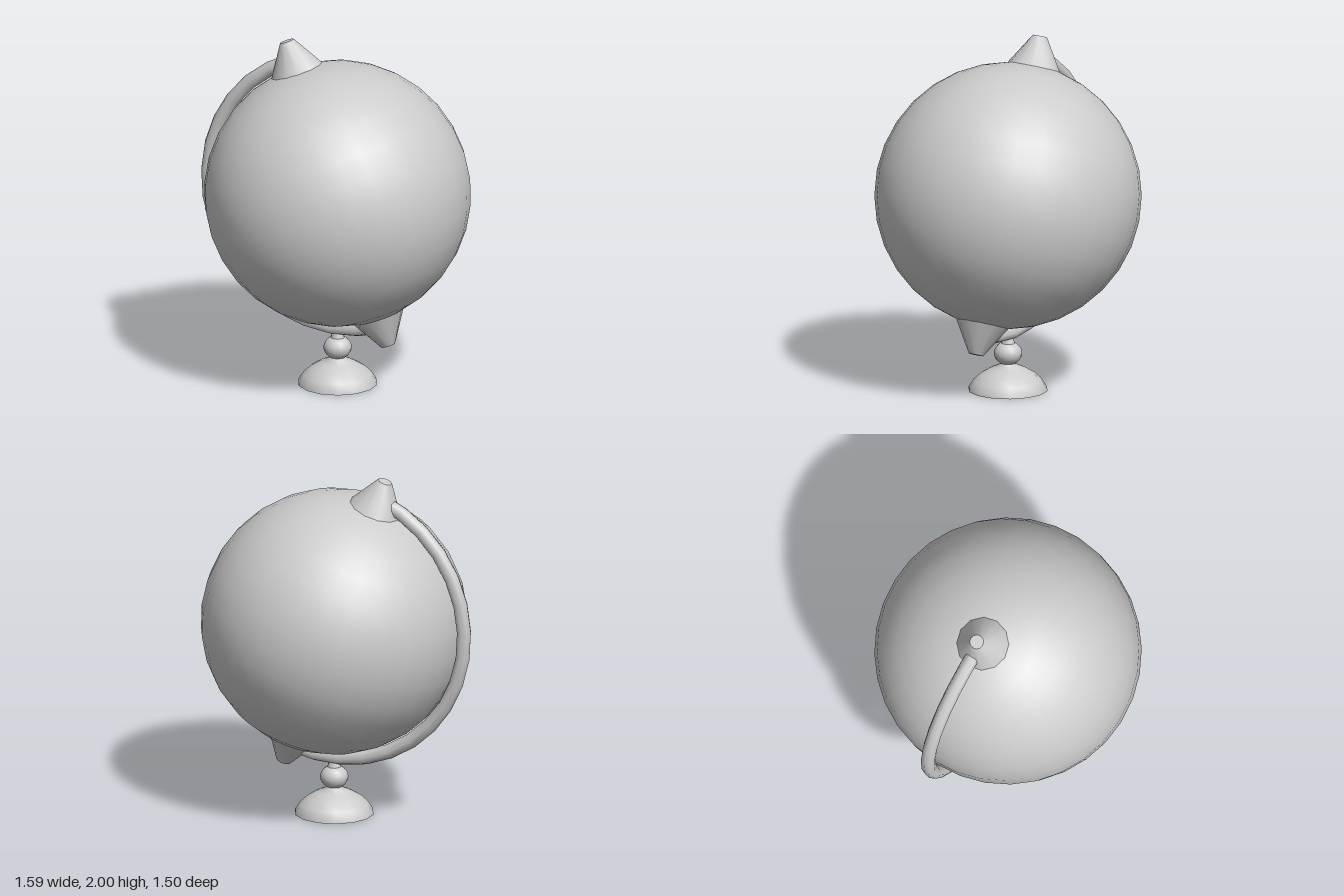
import * as THREE from 'three';
import { toCreasedNormals } from 'three/addons/utils/BufferGeometryUtils.js';

const CENTER = [0.04, 1.125, 0];
const TILT = THREE.MathUtils.degToRad(20);
const RADIUS = 0.752;

export function createModel() {
  const model = new THREE.Group();
  model.name = 'deskGlobe';
  const material = new THREE.MeshStandardMaterial({ color: 0xcccccc });

  const add = (parent, name, geometry) => {
    const mesh = new THREE.Mesh(geometry, material);
    mesh.name = name;
    parent.add(mesh);
    return mesh;
  };
  const lathe = (points, sides) => toCreasedNormals(
    new THREE.LatheGeometry(points.map(([r, y]) => new THREE.Vector2(r, y)), sides), 0.8);

  // Everything that turns on the tilted axis
  const tilted = new THREE.Group();
  tilted.name = 'tiltedAssembly';
  tilted.position.set(...CENTER);
  tilted.rotation.z = TILT;
  model.add(tilted);

  add(tilted, 'globe', new THREE.SphereGeometry(RADIUS, 32, 16));

  // Tapered end caps at both poles
  const capGeometry = lathe([[0, 0.737], [0.15, 0.737], [0.049, 0.902], [0.04, 0.915], [0, 0.915]], 12);
  add(tilted, 'topCap', capGeometry);
  add(tilted, 'bottomCap', capGeometry).rotation.z = Math.PI;

  // Half-circle support arm from pole to pole
  const arm = add(tilted, 'supportArm', new THREE.TorusGeometry(0.799, 0.042, 8, 16, Math.PI));
  arm.rotation.z = Math.PI / 2;

  // Stand: hollow domed foot, ball and pointed neck
  const stand = new THREE.Group();
  stand.name = 'stand';
  stand.position.x = CENTER[0];
  model.add(stand);

  add(stand, 'foot', lathe([
    [0, 0.115], [0.09, 0.1], [0.14, 0.06], [0.165, 0.012], [0.175, 0],
    [0.225, 0], [0.224, 0.01], [0.195, 0.055], [0.155, 0.092], [0.1, 0.124], [0.045, 0.148], [0.035, 0.165],
  ], 14));
  const ball = add(stand, 'ball', new THREE.SphereGeometry(0.08, 14, 10));
  ball.position.y = 0.212;
  ball.scale.y = 0.85;
  add(stand, 'neck', lathe([[0.042, 0.26], [0.03, 0.3], [0.018, 0.345], [0, 0.345]], 14));

  return model;
}
